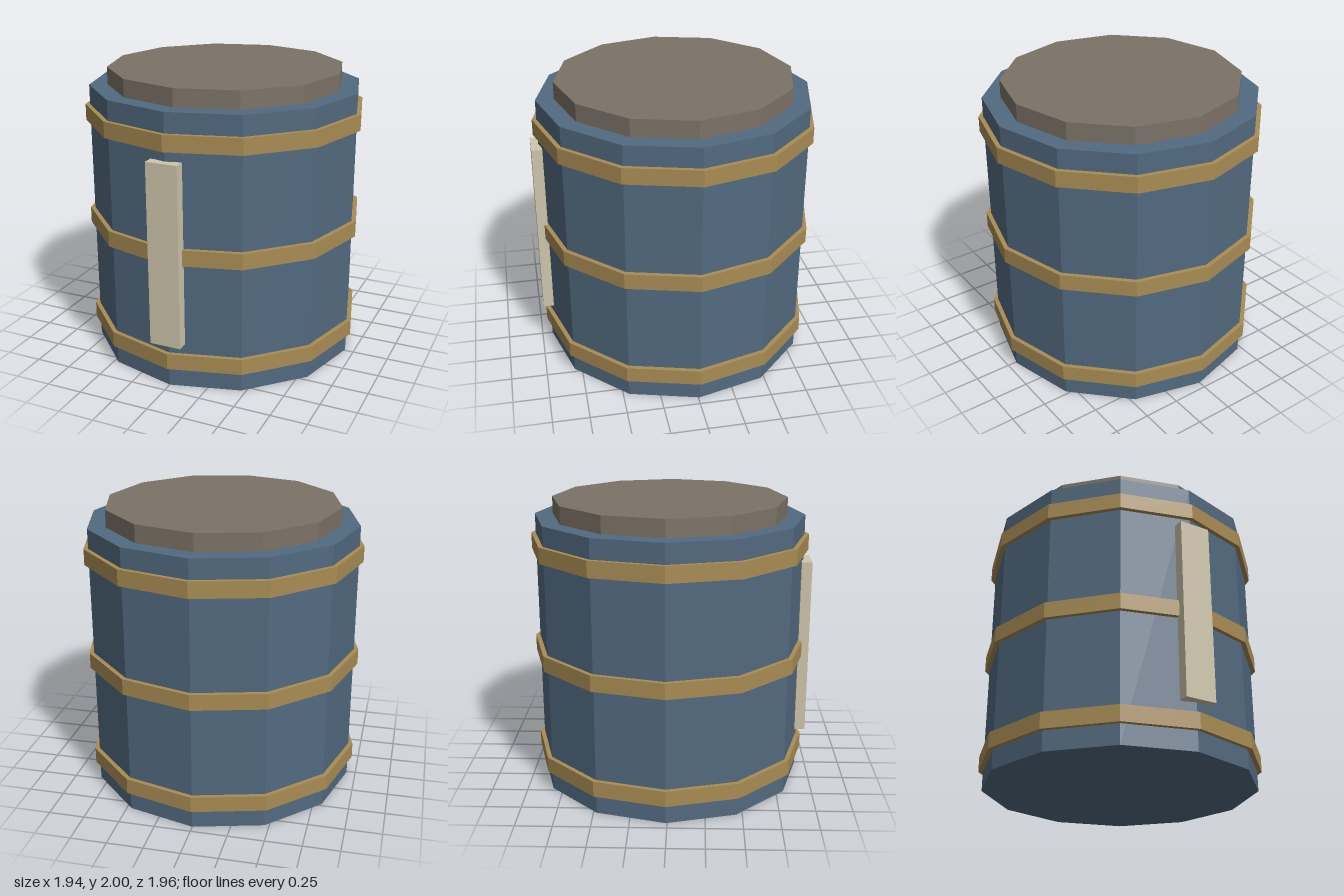
import * as THREE from 'three';

export function createModel() {
  const model = new THREE.Group();
  model.name = 'drum';

  const paint = (name, color) => {
    const m = new THREE.MeshStandardMaterial({ color, flatShading: true });
    m.name = name;
    return m;
  };
  const blue = paint('slate blue', 0x526a80);
  const brass = paint('brass', 0xa98c54);
  const grey = paint('warm grey', 0x7c7367);
  const cream = paint('cream', 0xcfc6ac);

  const SIDES = 12;
  const CENTRE_Z = -0.01; // the front plate shifts the drum slightly back

  const add = (name, geometry, material, y, z) => {
    const mesh = new THREE.Mesh(geometry, material);
    mesh.name = name;
    mesh.position.set(0, y, z);
    model.add(mesh);
  };
  const disc = (name, radius, bottom, top, material) =>
    add(name, new THREE.CylinderGeometry(radius, radius, top - bottom, SIDES),
      material, (bottom + top) / 2, CENTRE_Z);

  // Body and lid
  disc('body', 0.937, 0, 1.88, blue);
  disc('lid', 0.812, 1.88, 2, grey);

  // Three evenly spaced hoops
  ['lowerHoop', 'middleHoop', 'upperHoop'].forEach((name, i) => {
    const bottom = 0.135 + i * 0.75;
    disc(name, 0.968, bottom, bottom + 0.11, brass);
  });

  // Upright plate on the front
  add('frontPlate', new THREE.BoxGeometry(0.218, 1.25, 0.073), cream, 0.942, 0.942);

  return model;
}
